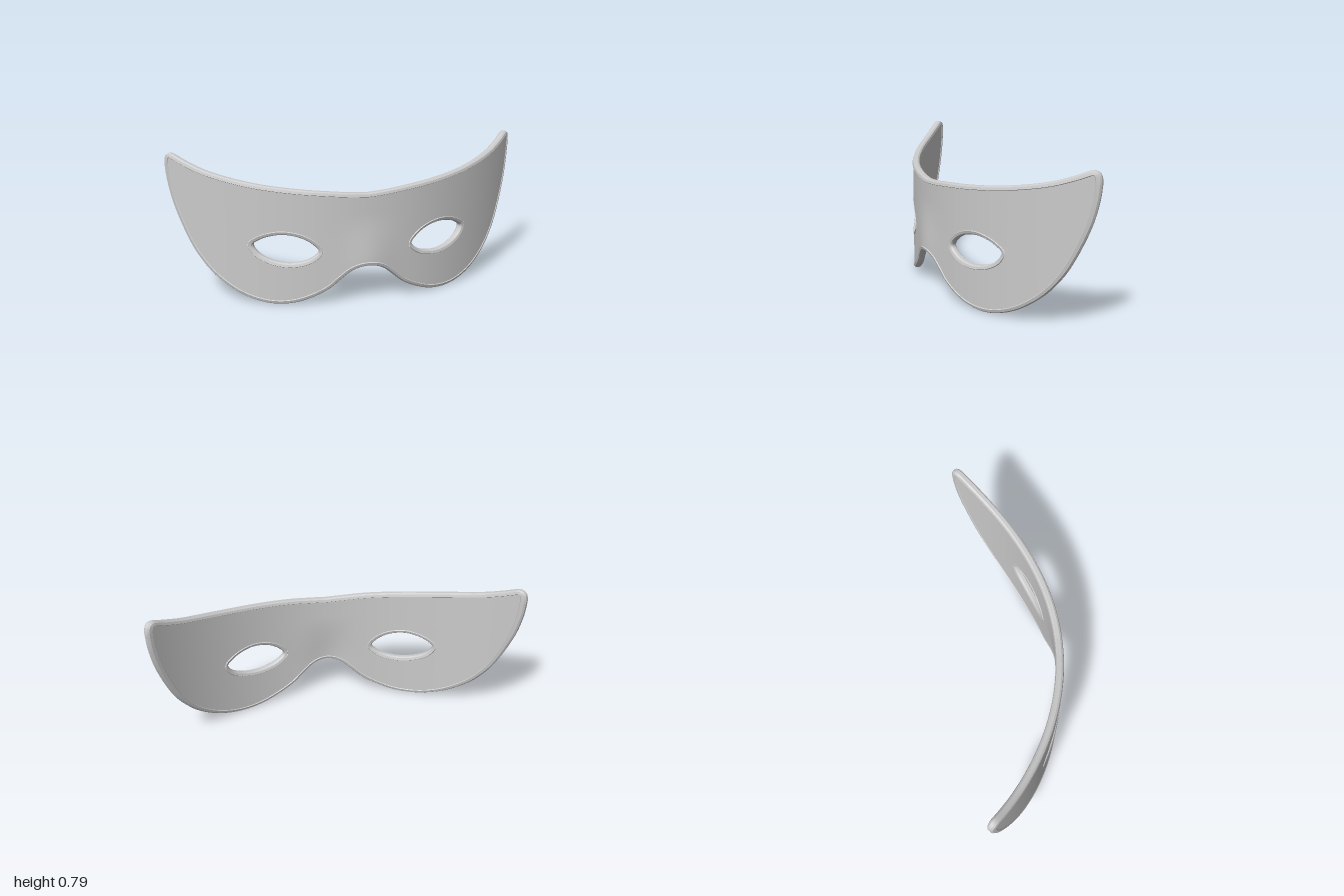
import * as THREE from 'three';
import { mergeGeometries, mergeVertices } from 'three/addons/utils/BufferGeometryUtils.js';

const curve = (pts, closed) =>
  new THREE.CatmullRomCurve3(pts.map(([x, y]) => new THREE.Vector3(x, y, 0)), closed, 'centripetal');

// Curved sheet the mask is bent over, with a soft bulge above the nose
const sheet = (x, y) => {
  const bulge = 0.019 * Math.exp(-((x / 0.12) ** 2)) * (1 - THREE.MathUtils.smoothstep(y, 0.2, 0.5));
  return 0.219 - 0.446 * x * x - 0.03 * x ** 6 + bulge;
};

// Point (x, y) on the sheet, moved by d along the sheet's normal
const place = (x, y, d) => {
  const e = 0.002;
  const n = new THREE.Vector3(
    (sheet(x - e, y) - sheet(x + e, y)) / (2 * e),
    (sheet(x, y - e) - sheet(x, y + e)) / (2 * e), 1).normalize();
  return new THREE.Vector3(x, y, sheet(x, y)).addScaledVector(n, d);
};

// Smooth surface through a row of closed loops
function loft(loops) {
  const n = loops[0].length, index = [];
  for (let j = 0; j < loops.length - 1; j++) {
    for (let i = 0; i < n; i++) {
      const k = (i + 1) % n;
      const a = j * n + i, b = j * n + k, c = a + n, d = b + n;
      index.push(a, c, b, b, c, d);
    }
  }
  const g = new THREE.BufferGeometry().setFromPoints(loops.flat());
  g.setIndex(index);
  g.computeVertexNormals();
  return g;
}

// Copy mirrored in x, with the faces turned back outwards
function mirror(g) {
  const m = g.clone().scale(-1, 1, 1);
  m.setIndex(Array.from(m.index.array).reverse());
  m.computeVertexNormals();
  return m;
}

// Both halves joined with smooth normals across the middle
function bothHalves(g) {
  const both = mergeGeometries([g, mirror(g)]);
  both.deleteAttribute('normal');
  const out = mergeVertices(both, 1e-5);
  out.computeVertexNormals();
  return out;
}

// Edge profile from back to front: [distance in from the edge, depth]
const PROFILE = [[0.022, -0.018], [0.019, -0.022], [0.006, -0.018], [0, -0.009],
  [0, 0.009], [0.006, 0.018], [0.019, 0.022], [0.022, 0.018]];
const INSET = 0.022, DEPTH = 0.018;

// Each edge point carries the direction leading into the panel
const shift = (p, s) => [p.x + p.nx * s, p.y + p.ny * s];
const rimStrips = (edge, profile) => mergeGeometries(profile.slice(1).map((b, i) =>
  loft([profile[i], b].map(([s, d]) => edge.map((p) => place(...shift(p, s), d))))));

export function createModel() {
  const group = new THREE.Group();
  group.name = 'eyeMask';
  const grey = new THREE.MeshStandardMaterial({ color: 0xcacaca });
  grey.name = 'lightGrey';
  const add = (name, geometry) => {
    const mesh = new THREE.Mesh(geometry, grey);
    mesh.name = name;
    group.add(mesh);
  };

  // Half outline: top centre, out to the pointed corner, back under to the nose
  const outline = curve([[0, 0.613], [0.1, 0.619], [0.2, 0.628], [0.4, 0.645], [0.6, 0.67],
    [0.8, 0.715], [0.9, 0.757], [0.935, 0.776], [0.96, 0.787], [0.98, 0.777], [0.989, 0.745],
    [0.988, 0.7], [0.981, 0.63], [0.957, 0.51], [0.9, 0.34], [0.857, 0.25], [0.785, 0.15],
    [0.69, 0.07], [0.6, 0.025], [0.5, 0.003], [0.39, 0.01], [0.29, 0.044], [0.2, 0.093],
    [0.14, 0.146], [0.085, 0.19], [0.04, 0.209], [0, 0.214]], false);
  const N = 180;
  const half = Array.from({ length: N + 1 }, (_, i) => {
    const p = outline.getPointAt(i / N);
    const t = outline.getTangentAt(i / N);
    if (i === 0) t.set(1, 0, 0);
    if (i === N) t.set(-1, 0, 0);
    if (i === 0 || i === N) p.x = 0;
    return { x: p.x, y: p.y, nx: t.y, ny: -t.x };
  });
  const otherHalf = half.slice(1, N).reverse().map((p) => ({ ...p, x: -p.x, nx: -p.nx }));
  add('outerRim', rimStrips([...half, ...otherHalf], PROFILE));

  // Almond eye opening, its outer corner a little higher
  const eye = curve([[0.256, 0.303], [0.29, 0.345], [0.35, 0.379], [0.435, 0.394], [0.51, 0.38],
    [0.56, 0.355], [0.583, 0.333], [0.56, 0.289], [0.5, 0.253], [0.41, 0.236], [0.325, 0.25],
    [0.28, 0.275]], true);
  const eyeEdge = (count) => Array.from({ length: count }, (_, i) => {
    const p = eye.getPointAt(i / count), t = eye.getTangentAt(i / count);
    return { x: p.x, y: p.y, nx: -t.y, ny: t.x };
  });
  const eyeRim = rimStrips(eyeEdge(80), [...PROFILE].reverse());
  add('leftEyeRim', eyeRim);
  add('rightEyeRim', mirror(eyeRim));

  // Panel of one half: a ring of quads from the border in to the eye rim
  const border = half.map((p) => shift(p, INSET));
  const y0 = border[N][1], y1 = border[0][1];
  for (let i = 1; i < 40; i++) border.push([0, y0 + (y1 - y0) * i / 40]);
  const cx = 0.418, cy = 0.315;
  const eyeDense = eyeEdge(900).map((p) => shift(p, INSET));
  const angle = ([x, y]) => Math.atan2(y - cy, x - cx);
  const inner = border.map((b) => {
    const a = angle(b);
    let best = eyeDense[0], gap = 9;
    for (const q of eyeDense) {
      const g = 1 - Math.cos(angle(q) - a);
      if (g < gap) { gap = g; best = q; }
    }
    return best;
  });
  const R = 16;
  const rings = (d) => Array.from({ length: R + 1 }, (_, j) => border.map(([x, y], i) => {
    const f = j / R;
    return place(x + (inner[i][0] - x) * f, y + (inner[i][1] - y) * f, d);
  }));
  add('frontPanel', bothHalves(loft(rings(DEPTH))));
  add('backPanel', bothHalves(loft(rings(-DEPTH).reverse())));

  // Stand on the ground, centred front to back
  const box = new THREE.Box3().setFromObject(group);
  group.position.set(0, -box.min.y, -(box.min.z + box.max.z) / 2);
  return group;
}
